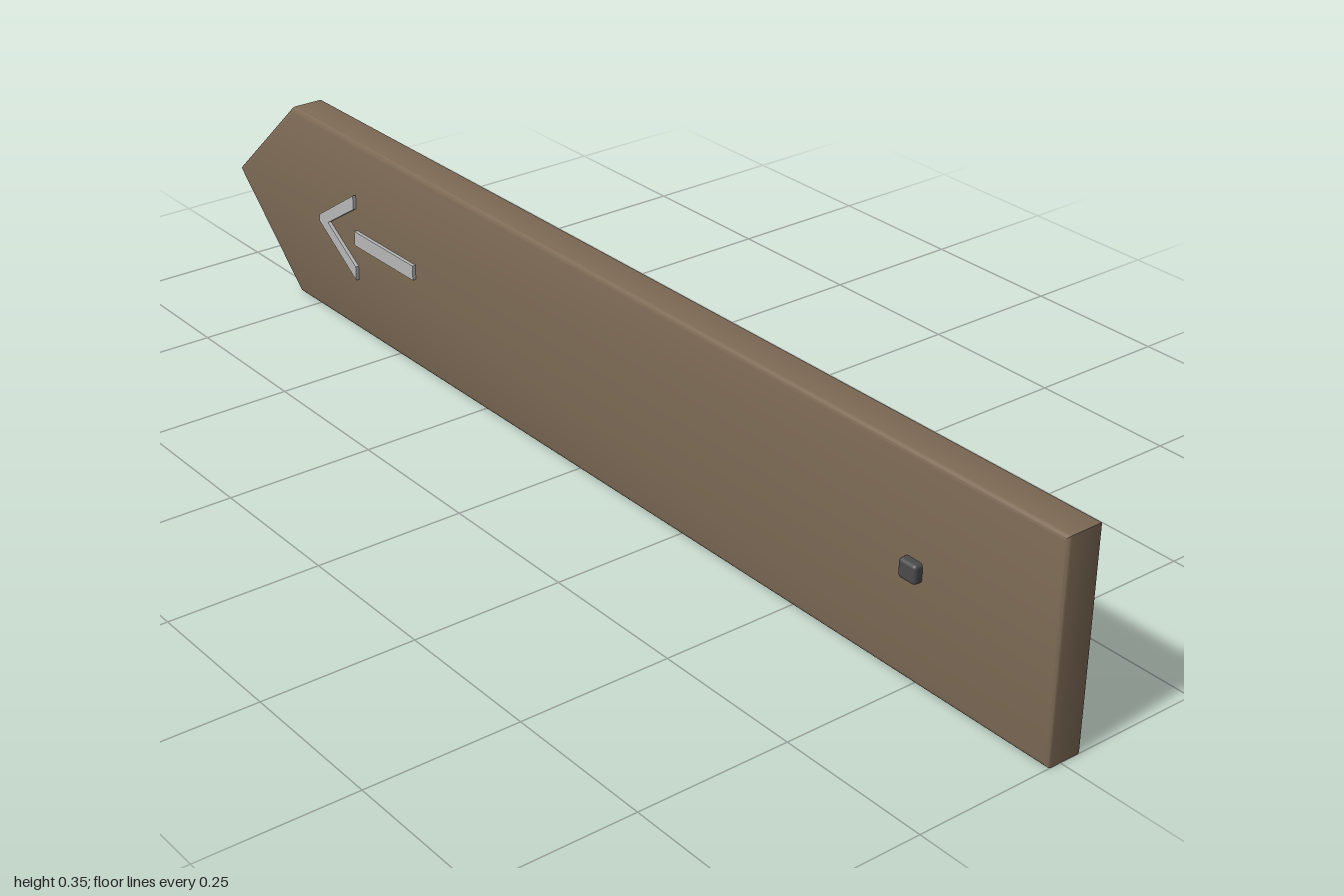
import * as THREE from 'three';
import { toCreasedNormals } from 'three/addons/utils/BufferGeometryUtils.js';
import { RoundedBoxGeometry } from 'three/addons/geometries/RoundedBoxGeometry.js';

const MID = 0.174; // height of the centre line

// Extrude an outline from z = back to z = front, bevel kept inside the outline
function slab(points, back, front, bevel = 0) {
  const shape = new THREE.Shape(points.map(([x, y]) => new THREE.Vector2(x, y)));
  const geometry = new THREE.ExtrudeGeometry(shape, {
    depth: front - back - 2 * bevel,
    bevelEnabled: bevel > 0,
    bevelThickness: bevel,
    bevelSize: bevel,
    bevelOffset: -bevel,
    bevelSegments: 3,
  });
  geometry.translate(0, 0, back + bevel);
  return toCreasedNormals(geometry, 0.7);
}

export function createModel() {
  const group = new THREE.Group();
  const wood = new THREE.MeshStandardMaterial({ color: 0x7d6a55 });
  const paint = new THREE.MeshStandardMaterial({ color: 0xb8b8b8 });
  const iron = new THREE.MeshStandardMaterial({ color: 0x4a4a4a });

  const add = (name, geometry, material, parent = group) => {
    const mesh = new THREE.Mesh(geometry, material);
    mesh.name = name;
    parent.add(mesh);
    return mesh;
  };

  // Pointed plank with softened edges
  add('board', slab([
    [-1, MID], [-0.81, 0], [1, 0], [1, 2 * MID], [-0.81, 2 * MID],
  ], -0.039, 0.025, 0.007), wood);

  // Raised arrow: chevron head and separate shaft
  const arrow = new THREE.Group();
  arrow.name = 'arrow';
  group.add(arrow);
  add('arrowHead', slab([
    [-0.725, MID + 0.006], [-0.725, MID - 0.006], [-0.615, MID - 0.078],
    [-0.615, MID - 0.053], [-0.698, MID], [-0.615, MID + 0.053], [-0.615, MID + 0.078],
  ], 0.02, 0.031), paint, arrow);
  add('arrowShaft', slab([
    [-0.615, MID - 0.013], [-0.44, MID - 0.013], [-0.44, MID + 0.013], [-0.615, MID + 0.013],
  ], 0.02, 0.031), paint, arrow);

  // Bolt head near the square end
  const bolt = add('bolt', new RoundedBoxGeometry(0.034, 0.031, 0.028, 3, 0.006), iron);
  bolt.position.set(0.738, 0.176, 0.025);

  return group;
}
